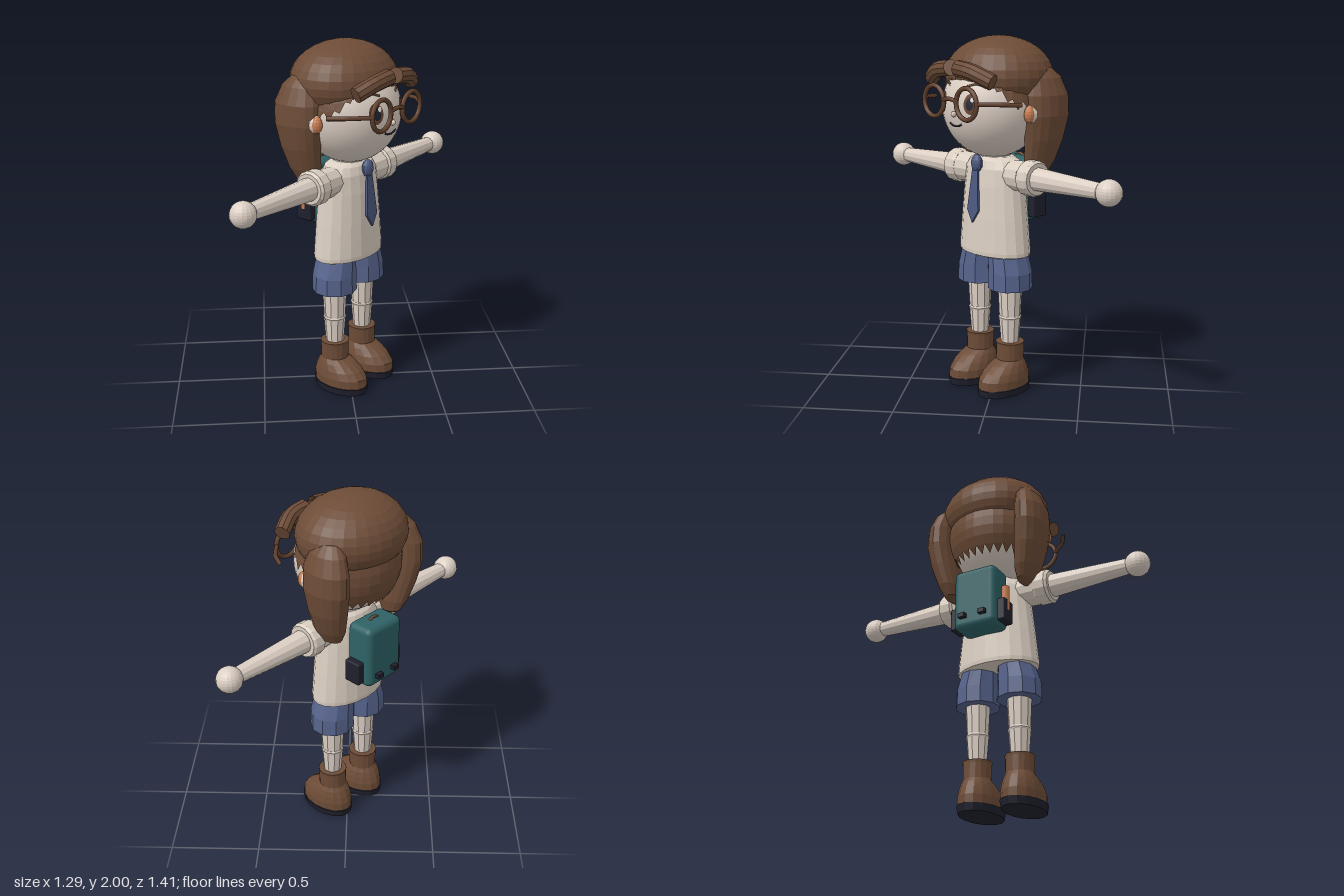
import * as THREE from 'three';
import { RoundedBoxGeometry } from 'three/addons/geometries/RoundedBoxGeometry.js';

const paint = (name, color, side = THREE.FrontSide) => {
  const m = new THREE.MeshStandardMaterial({ color, side });
  m.name = name;
  return m;
};
const V = (x, y, z) => new THREE.Vector3(x, y, z);

export function createModel() {
  const skin = paint('skin', 0xdccfc4);
  const shirt = paint('shirt cream', 0xdbcfc2);
  const brown = paint('hair and boot brown', 0x6d4c37, THREE.DoubleSide);
  const frame = paint('glasses brown', 0x63412e);
  const blue = paint('shorts blue', 0x56638c);
  const tieBlue = paint('tie blue', 0x4c597f);
  const teal = paint('backpack teal', 0x2e6265);
  const dark = paint('dark navy', 0x20202e);
  const orange = paint('orange', 0xc87c50);
  const white = paint('white', 0xf4f2ee);

  const root = new THREE.Group();
  const body = new THREE.Group();
  body.name = 'character';
  body.rotation.y = THREE.MathUtils.degToRad(48);
  root.add(body);

  const add = (name, geo, mat, x = 0, y = 0, z = 0) => {
    const m = new THREE.Mesh(geo, mat);
    m.name = name;
    m.position.set(x, y, z);
    body.add(m);
    return m;
  };
  // Faceted look
  const flat = (geo) => {
    const g = geo.index ? geo.toNonIndexed() : geo;
    g.computeVertexNormals();
    return g;
  };
  const ball = (rx, ry, rz, w = 16, h = 12) => new THREE.SphereGeometry(1, w, h).scale(rx, ry, rz);
  const tube = (pts, r, seg = 12, sides = 8) =>
    new THREE.TubeGeometry(new THREE.CatmullRomCurve3(pts), seg, r, sides);
  // Closed solid through elliptical rings [y, rx, rz, cx, cz], bottom to top
  const loft = (rings, n = 16) => {
    const pos = [], idx = [];
    for (const [y, rx, rz, cx = 0, cz = 0] of rings)
      for (let i = 0; i < n; i++) {
        const a = (i / n) * Math.PI * 2;
        pos.push(cx + rx * Math.sin(a), y, cz + rz * Math.cos(a));
      }
    const last = (rings.length - 1) * n;
    const ends = [rings[0], rings[rings.length - 1]];
    for (const [y, , , cx = 0, cz = 0] of ends) pos.push(cx, y, cz);
    for (let i = 0; i < n; i++) {
      const j = (i + 1) % n;
      for (let k = 0; k < last; k += n) idx.push(k + i, k + j, k + n + j, k + i, k + n + j, k + n + i);
      idx.push(last + n, j, i, last + n + 1, last + i, last + j);
    }
    const g = new THREE.BufferGeometry();
    g.setAttribute('position', new THREE.Float32BufferAttribute(pos, 3));
    g.setIndex(idx);
    return flat(g);
  };

  // Head
  const H = { y: 1.62, z: 0.01, rx: 0.285, ry: 0.285, rz: 0.28 };
  add('head', ball(H.rx, H.ry, H.rz, 40, 28), skin, 0, H.y, H.z);
  add('neck', new THREE.CylinderGeometry(0.085, 0.1, 0.12, 12), skin, 0, 1.34, 0);
  const onFace = (x, y, off = 0) =>
    V(x, y, H.z + off + H.rz * Math.sqrt(Math.max(0, 1 - (x / H.rx) ** 2 - ((y - H.y) / H.ry) ** 2)));
  const facePatch = (name, x, y, rx, ry, off, mat) => {
    const g = new THREE.CircleGeometry(1, 20);
    const p = g.attributes.position;
    for (let i = 0; i < p.count; i++) {
      const q = onFace(x + p.getX(i) * rx, y + p.getY(i) * ry, off);
      p.setXYZ(i, q.x, q.y, q.z);
    }
    g.computeVertexNormals();
    add(name, g, mat);
  };
  const faceLine = (name, pts, mat, r) => add(name, tube(pts.map(([x, y]) => onFace(x, y, 0.002)), r, 10, 6), mat);
  faceLine('mouth', [[-0.05, 1.54], [-0.025, 1.527], [0.02, 1.527], [0.05, 1.54]], dark, 0.005);
  add('nose', ball(0.014, 0.016, 0.018, 10, 8), skin, 0, 1.59, 0.292);

  // Hair dome whose lower edge drops from forehead to nape
  const dome = new THREE.SphereGeometry(1, 32, 12);
  const dp = dome.attributes.position, uv = dome.attributes.uv;
  const edge = [[0, 1.05], [0.22, 1.08], [0.4, 1.58], [0.52, 1.5], [0.62, 2.25], [1.01, 2.25]];
  for (let i = 0; i < dp.count; i++) {
    const u = uv.getX(i), t = 1 - uv.getY(i);
    const phi = u * Math.PI * 2;
    const c = Math.abs(((u - 0.25 + 1.5) % 1) - 0.5) * 2;
    const k = edge.findIndex((e) => c < e[0]);
    const [a, b] = [edge[k - 1], edge[k]];
    const th = t * THREE.MathUtils.lerp(a[1], b[1], (c - a[0]) / (b[0] - a[0]));
    dp.setXYZ(i, -0.297 * Math.cos(phi) * Math.sin(th), 0.3 * Math.cos(th), 0.292 * Math.sin(phi) * Math.sin(th));
  }
  add('backHair', flat(dome), brown, 0, H.y, 0.003);
  add('hairCap', flat(ball(0.32, 0.215, 0.28, 28, 16)), brown, 0, 1.785, -0.03);

  // Torso
  add('shirt', loft([
    [0.79, 0.225, 0.138], [0.797, 0.243, 0.153], [0.82, 0.245, 0.155], [1.0, 0.226, 0.148],
    [1.18, 0.205, 0.138], [1.28, 0.195, 0.125], [1.325, 0.165, 0.11], [1.345, 0.12, 0.09],
  ], 20), shirt);
  add('tieKnot', flat(ball(0.037, 0.05, 0.03, 12, 8)), tieBlue, 0, 1.31, 0.132);
  const blade = new THREE.Shape([[-0.022, 1.28], [-0.046, 1.05], [0, 0.98], [0.046, 1.05], [0.022, 1.28]]
    .map(([x, y]) => new THREE.Vector2(x, y - 1.28)));
  add('tieBlade', new THREE.ExtrudeGeometry(blade, { depth: 0.012, bevelEnabled: false }), tieBlue, 0, 1.28, 0.135)
    .rotation.x = -0.08;

  for (const s of [-1, 1]) {
    // Face and hair on each side
    facePatch('iris', s * 0.112, 1.65, 0.04, 0.056, 0.004, frame);
    facePatch('pupil', s * 0.11, 1.65, 0.021, 0.034, 0.007, dark);
    facePatch('eyeGlint', s * 0.11 + 0.014, 1.675, 0.011, 0.014, 0.01, white);
    faceLine('eyebrow', [[s * 0.07, 1.74], [s * 0.12, 1.753], [s * 0.17, 1.735]], brown, 0.006);
    add('ear', flat(ball(0.045, 0.055, 0.045, 12, 8)), skin, s * 0.292, 1.595, 0);
    add('innerEar', flat(ball(0.03, 0.045, 0.03, 12, 8)), orange, s * 0.305, 1.595, 0.025);
    add('pigtail', loft([
      [1.24, 0.012, 0.02, s * 0.23, -0.1], [1.265, 0.045, 0.07, s * 0.235, -0.1],
      [1.33, 0.068, 0.098, s * 0.248, -0.105], [1.45, 0.084, 0.122, s * 0.272, -0.115],
      [1.58, 0.09, 0.145, s * 0.288, -0.12], [1.69, 0.087, 0.142, s * 0.285, -0.12],
      [1.78, 0.07, 0.112, s * 0.268, -0.115], [1.83, 0.045, 0.07, s * 0.25, -0.11],
      [1.85, 0.012, 0.02, s * 0.24, -0.11],
    ]), brown);
    const lock = [V(s * 0.03, 1.835, 0.288), V(s * 0.14, 1.82, 0.282), V(s * 0.25, 1.77, 0.235)];
    add('fringeLock', flat(tube(lock, 0.044, 6, 10)), brown);
    for (const [k, p] of [[0, lock[0]], [1, lock[2]]]) {
      const cap = add('fringeLockEnd', new THREE.CircleGeometry(0.044, 10), brown, p.x, p.y, p.z);
      const dir = new THREE.CatmullRomCurve3(lock).getTangent(k);
      cap.lookAt(p.clone().addScaledVector(dir, k ? 1 : -1).applyMatrix4(body.matrix));
    }

    // Glasses
    add('glassesRim', new THREE.TorusGeometry(0.083, 0.013, 8, 28), frame, s * 0.136, 1.655, 0.318);
    const arm = new THREE.CurvePath();
    const bends = [V(s * 0.218, 1.66, 0.318), V(s * 0.306, 1.66, 0.236), V(s * 0.361, 1.655, 0.132)];
    for (let i = 0; i < 2; i++) arm.add(new THREE.LineCurve3(bends[i], bends[i + 1]));
    add('glassesTemple', new THREE.TubeGeometry(arm, 8, 0.012, 8), frame);

    // Arms
    const limb = (name, r0, r1, x0, x1, mat) => {
      const g = new THREE.CylinderGeometry(r1, r0, x1 - x0, 12).rotateZ(-Math.PI / 2);
      if (s < 0) g.rotateY(Math.PI);
      add(name, flat(g), mat, (s * (x0 + x1)) / 2, 1.25, 0);
    };
    limb('sleeve', 0.08, 0.09, 0.13, 0.3, shirt);
    const cuff = new THREE.LatheGeometry([[0.05, -0.045], [0.085, -0.045], [0.098, -0.03], [0.098, 0.03],
      [0.088, 0.045], [0.05, 0.045]].map(([r, y]) => new THREE.Vector2(r, y)), 14).rotateZ(-Math.PI / 2);
    add('sleeveCuff', flat(cuff), shirt, s * 0.305, 1.25, 0);
    limb('arm', 0.068, 0.042, 0.28, 0.83, skin);
    add('hand', flat(ball(0.07, 0.07, 0.07, 18, 14)), skin, s * 0.857, 1.25, 0);

    // Legs and boots
    const X = s * 0.13;
    add('shortsLeg', loft([[0.605, 0.126, 0.126, X], [0.7, 0.122, 0.124, X], [0.83, 0.1, 0.112, s * 0.11]], 10), blue);
    add('leg', loft([[0.43, 0.06, 0.06, X], [0.63, 0.07, 0.07, X]], 10), skin);
    add('sock', loft([[0.27, 0.05, 0.05, X], [0.425, 0.062, 0.062, X], [0.435, 0.066, 0.066, X],
      [0.445, 0.062, 0.062, X]], 10), skin);
    add('boot', loft([
      [0.04, 0.108, 0.17, X, 0.045], [0.09, 0.11, 0.168, X, 0.043], [0.13, 0.102, 0.145, X, 0.032],
      [0.165, 0.09, 0.112, X, 0.015], [0.19, 0.077, 0.08, X], [0.275, 0.08, 0.08, X], [0.29, 0.082, 0.082, X],
    ]), brown);
    add('sole', loft([[0, 0.106, 0.168, X, 0.045], [0.042, 0.114, 0.176, X, 0.045]]), dark);

    // Backpack fittings
    add('sidePocket', new RoundedBoxGeometry(0.055, 0.13, 0.1, 2, 0.008), dark, s * 0.143, 1.055, -0.19);
    add('buckle', new THREE.BoxGeometry(0.04, 0.025, 0.03), dark, s * 0.062, 1.035, -0.295);
  }
  add('glassesBridge', tube([V(-0.056, 1.665, 0.318), V(0, 1.675, 0.325), V(0.056, 1.665, 0.318)], 0.012), frame);

  // Backpack
  add('backpack', new RoundedBoxGeometry(0.26, 0.36, 0.165, 3, 0.035), teal, 0, 1.145, -0.2);
  add('backpackHandle', tube([V(-0.035, 1.32, -0.19), V(0, 1.335, -0.19), V(0.035, 1.32, -0.19)], 0.008), brown);
  add('bottle', new THREE.CylinderGeometry(0.022, 0.022, 0.15, 12), orange, -0.152, 1.13, -0.19);

  return root;
}
